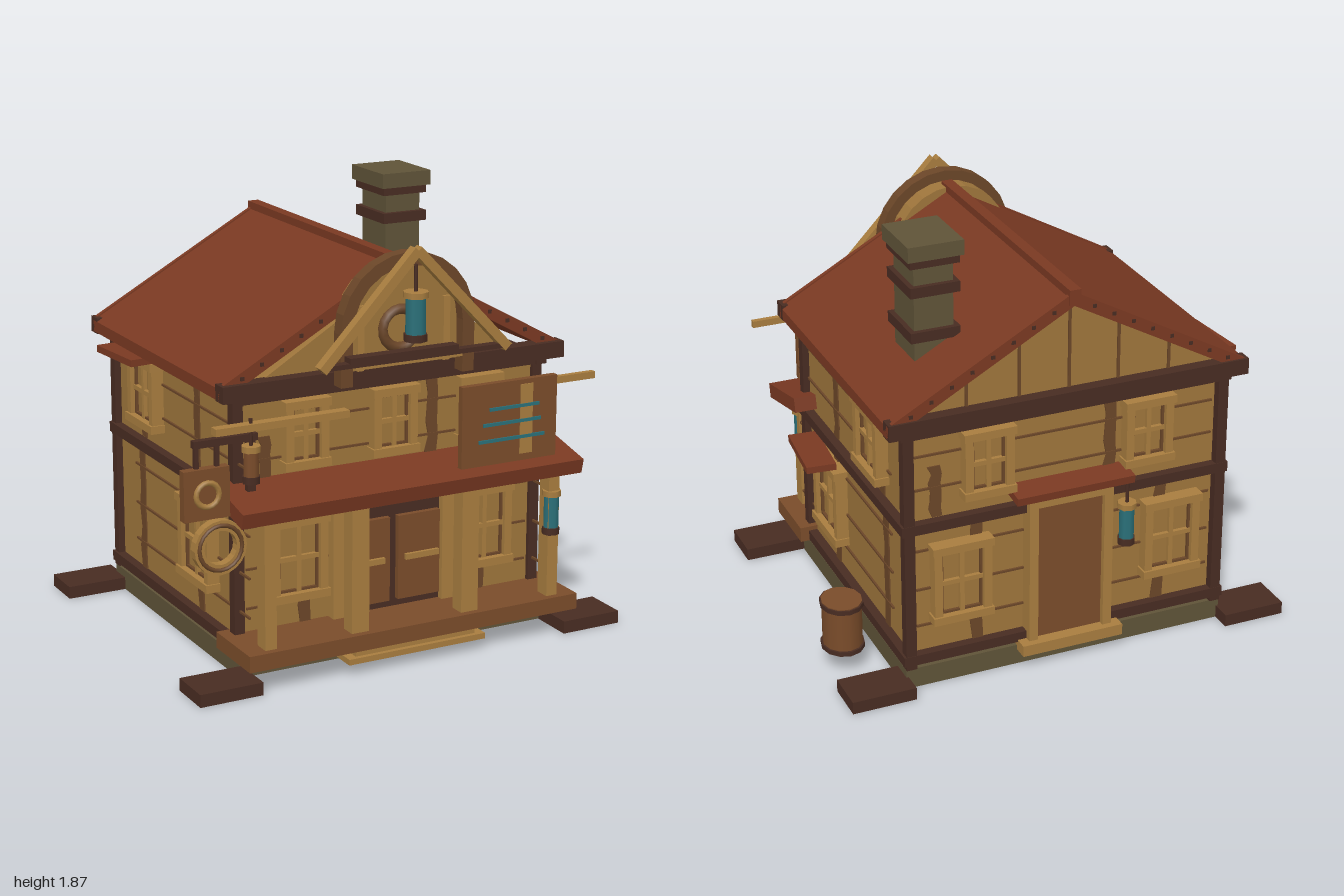
import * as THREE from 'three';

const mat = (name, color, side = THREE.FrontSide) =>
  Object.assign(new THREE.MeshStandardMaterial({ color, side }), { name });

export function createModel() {
  const M = {
    wall: mat('wall planks', 0x9e753b),
    trim: mat('light trim wood', 0xa87d3f),
    brown: mat('brown wood', 0x7a4c2a),
    stain: mat('weathered wood', 0x6b4628),
    dark: mat('dark timber', 0x482c22),
    red: mat('red roof boards', 0x7a3922),
    stone: mat('stone', 0x5f5338),
    teal: mat('teal glass', 0x2a7079),
  };
  const root = new THREE.Group();
  root.name = 'woodenHouse';

  // Helpers: box from extents, and generic mesh
  const add = (name, geo, m, parent = root) => {
    const mesh = new THREE.Mesh(geo, m);
    mesh.name = name;
    parent.add(mesh);
    return mesh;
  };
  const box = (name, m, x0, x1, y0, y1, z0, z1, parent = root) => {
    const b = add(name, new THREE.BoxGeometry(x1 - x0, y1 - y0, z1 - z0), m, parent);
    b.position.set((x0 + x1) / 2, (y0 + y1) / 2, (z0 + z1) / 2);
    return b;
  };
  const shape = pts => new THREE.Shape(pts.map(p => new THREE.Vector2(p[0], p[1])));
  const extrude = (name, m, s, z, depth, parent = root) => {
    const e = add(name, new THREE.ExtrudeGeometry(s, { depth, bevelEnabled: false, curveSegments: 10 }), m, parent);
    e.position.z = z;
    return e;
  };
  // Group whose local +z points out of one wall of the house
  const faces = {
    front: [0, 0, 0.53, 0], back: [0, 0, -0.67, Math.PI],
    left: [0.7, 0, 0, Math.PI / 2], right: [-0.7, 0, 0, -Math.PI / 2],
  };
  const wallGroup = {};
  for (const [k, [x, y, z, r]] of Object.entries(faces)) {
    const g = new THREE.Group();
    g.name = k + 'WallDetails';
    g.position.set(x, y, z);
    g.rotation.y = r;
    root.add(g);
    wallGroup[k] = g;
  }

  // Foundation, corner pads and body
  box('foundation', M.stone, -0.73, 0.73, 0, 0.09, -0.7, 0.585);
  for (const s of [-1, 1]) for (const [a, b] of [[0.59, 0.79], [-0.79, -0.6]])
    box('cornerPad', M.dark, Math.min(s * 0.72, s), Math.max(s * 0.72, s), 0, 0.055, a, b);
  box('body', M.wall, -0.7, 0.7, 0.09, 1.18, -0.67, 0.53);

  // Timber framing
  for (const s of [-1, 1]) {
    for (const z of [0.525, -0.685]) box('cornerPost', M.dark, s * 0.707 - 0.023, s * 0.707 + 0.023, 0.09, 1.18, z - 0.023, z + 0.023);
    for (const [y0, y1] of [[0.11, 0.155], [0.72, 0.765], [1.15, 1.185]])
      box('sideBeam', M.dark, s * 0.715 - 0.025, s * 0.715 + 0.025, y0, y1, -0.71, 0.57);
  }
  for (const [z0, z1] of [[0.52, 0.56], [-0.71, -0.66]])
    for (const [y0, y1] of [[0.11, 0.155], [0.72, 0.765], [1.15, 1.185]])
      if (z0 < 0 || y0 > 0.2) box('crossBeam', M.dark, -0.73, 0.73, y0, y1, z0, z1);
  box('frontEaveBeam', M.dark, -0.8, 0.8, 1.18, 1.25, 0.54, 0.61);
  box('backEaveBeam', M.dark, -0.8, 0.8, 1.18, 1.25, -0.745, -0.68);

  // Plank seams and weathered streaks on each wall
  const streak = (g, x, y0, y1, w) => {
    const n = 6, l = [], r = [];
    for (let i = 0; i <= n; i++) {
      const y = y0 + (y1 - y0) * i / n, j = Math.sin(i * 2.7 + x * 9) * w * 0.2;
      l.push([x - w / 2 + j, y]);
      r.unshift([x + w / 2 + j * 0.4, y]);
    }
    extrude('weatherStreak', M.stain, shape([...l, ...r]), 0, 0.006, g);
  };
  for (const [k, g] of Object.entries(wallGroup)) {
    const side = k === 'left' || k === 'right';
    const off = k === 'left' ? -0.07 : k === 'right' ? 0.07 : 0;
    const half = side ? 0.57 : 0.67;
    for (const y of [0.27, 0.44, 0.62, 0.9, 1.05])
      box('plankSeam', M.stain, off - half, off + half, y, y + 0.009, 0, 0.009, g);
    const spots = side ? [[-0.15, 0.77, 1.15], [0.4, 0.77, 1.15], [-0.17, 0.155, 0.72], [0.43, 0.155, 0.72]]
      : [[-0.4, 0.155, 0.72], [0.44, 0.155, 0.72], [0.2, 0.77, 1.15], [-0.58, 0.77, 1.0]];
    for (const [x, a, b] of spots) streak(g, k === 'right' ? -x : x, a, b, 0.05);
  }

  // Windows: frame bars around a four pane panel
  const windowAt = (face, x, y, w, h) => {
    const g = new THREE.Group();
    g.name = 'window';
    g.position.set(x, y, 0);
    wallGroup[face].add(g);
    const a = w / 2, b = h / 2, t = 0.035;
    box('panes', M.wall, -a + t, a - t, -b + t, b - t, 0, 0.022, g);
    for (const s of [-1, 1]) {
      box('jamb', M.trim, s * (a - 0.025) - t / 2, s * (a - 0.025) + t / 2, -b, b, 0, 0.055, g);
      box('sillOrLintel', M.trim, -a, a, s * (b - t / 2) - t / 2, s * (b - t / 2) + t / 2, 0, 0.065, g);
      box('sashSide', M.stain, s * (a - 0.048) - 0.005, s * (a - 0.048) + 0.005, -b + t, b - t, 0, 0.035, g);
      box('sashEnd', M.stain, -a + t, a - t, s * (b - t - 0.005) - 0.005, s * (b - t - 0.005) + 0.005, 0, 0.035, g);
    }
    box('mullion', M.trim, -0.01, 0.01, -b + t, b - t, 0, 0.04, g);
    box('transom', M.trim, -a + t, a - t, -0.01, 0.01, 0, 0.04, g);
  };
  for (const s of [-1, 1]) {
    windowAt('front', s * 0.445, 0.47, 0.27, 0.36);
    windowAt('front', s * 0.41, 1.0, 0.21, 0.29);
    windowAt('back', s * 0.48, 0.47, 0.27, 0.36);
    windowAt('back', s * 0.36, 0.99, 0.23, 0.3);
    const f = s > 0 ? 'left' : 'right';
    windowAt(f, -s * 0.195, 0.475, 0.31, 0.36);
    windowAt(f, s * 0.33, 0.995, 0.28, 0.31);
  }
  windowAt('front', 0, 1.0, 0.22, 0.29);

  // Roof slabs, ridge, rake boards
  for (const s of [-1, 1]) {
    const sect = (top, t) => shape([[0, top], [s * 0.8, top - 0.44], [s * 0.8, top - 0.44 - t], [0, top - t]]);
    extrude('roofSlab', M.red, sect(1.675, 0.05), -0.72, 1.29);
    for (const z of [0.565, -0.735]) extrude('rakeBoard', M.red, sect(1.682, 0.06), z, 0.02);
    for (const z of [0.586, -0.738]) for (let i = 1; i < 9; i++)
      box('rakePeg', M.dark, s * i * 0.088 - 0.008, s * i * 0.088 + 0.008, 1.648 - i * 0.0484, 1.664 - i * 0.0484, z, z + 0.005);
  }
  box('ridgeBeam', M.red, -0.025, 0.025, 1.63, 1.695, -0.745, 0.595);

  // Gables
  extrude('frontGable', M.wall, shape([[-0.6, 1.24], [0.6, 1.24], [0, 1.6]]), 0.53, 0.02);
  const backGable = add('backGable', new THREE.ShapeGeometry(shape([[-0.78, 1.2], [0.78, 1.2], [0, 1.65]])), M.wall);
  backGable.rotation.y = Math.PI;
  backGable.position.z = -0.69;
  for (const x of [-0.45, -0.22, 0, 0.22, 0.45])
    box('gableSeam', M.stain, x - 0.006, x + 0.006, 1.24, 1.64 - Math.abs(x) * 0.58, -0.697, -0.688);

  // Arched dormer front
  const arch = (r, leg) => {
    const p = [[-r, leg]];
    for (let i = 0; i <= 12; i++) p.push([-r * Math.cos(i * Math.PI / 12), 1.42 + r * Math.sin(i * Math.PI / 12)]);
    return [...p, [r, leg]].reverse();
  };
  extrude('archPanel', M.wall, shape(arch(0.265, 1.25)), 0.54, 0.09);
  extrude('archFrame', M.stain, shape([...arch(0.31, 1.2), ...arch(0.255, 1.2).reverse()]), 0.62, 0.06);
  for (const s of [-1, 1]) {
    box('archPanelBatten', M.trim, s * 0.2 - 0.015, s * 0.2 + 0.015, 1.25, 1.52, 0.63, 0.645);
    const p = add('gablePlank', new THREE.BoxGeometry(0.62, 0.04, 0.045), M.trim);
    p.position.set(s * 0.215, 1.525, 0.735);
    p.rotation.z = -s * 0.805;
  }
  box('archSill', M.trim, -0.25, 0.25, 1.27, 1.3, 0.63, 0.69);
  box('gableTieBar', M.dark, -0.43, 0.43, 1.3, 1.32, 0.715, 0.755);
  box('gableTieBoard', M.dark, -0.31, 0.19, 1.318, 1.342, 0.71, 0.76);
  const shoe = add('horseshoe', new THREE.TorusGeometry(0.08, 0.022, 6, 14, 5), M.stain);
  shoe.position.set(-0.04, 1.42, 0.68);
  shoe.rotation.z = 0.9;

  // Lanterns
  const lantern = (x, y, z, h, r, m = M.teal) => {
    const g = new THREE.Group();
    g.name = 'lantern';
    g.position.set(x, y, z);
    root.add(g);
    const cyl = (n, mm, rad, hh, yy) => { add(n, new THREE.CylinderGeometry(rad, rad, hh, 8), mm, g).position.y = yy; };
    cyl('lanternGlass', m, r, h, 0);
    cyl('lanternCap', M.trim, r * 1.25, 0.025, h / 2 + 0.012);
    cyl('lanternBase', M.dark, r * 1.15, 0.03, -h / 2 - 0.015);
    cyl('lanternStem', M.dark, 0.008, 0.12, h / 2 + 0.075);
  };
  lantern(0, 1.48, 0.735, 0.15, 0.043);
  lantern(0.67, 0.55, 0.74, 0.14, 0.033);
  lantern(-0.25, 0.6, -0.745, 0.14, 0.033);
  lantern(-0.74, 0.965, 0.735, 0.1, 0.032, M.brown);

  // Chimney
  const chimney = (n, m, y0, y1, e) => box(n, m, 0.4 - e, 0.57 + e, y0, y1, -0.445 - e, -0.23 + e);
  chimney('chimneyStack', M.stone, 1.3, 1.8, 0);
  for (const [a, b] of [[1.45, 1.495], [1.645, 1.69], [1.77, 1.805]]) chimney('chimneyBand', M.dark, a, b, 0.022);
  chimney('chimneyCap', M.stone, 1.805, 1.87, 0.035);

  // Porch deck, steps, posts and awning
  box('porchDeck', M.brown, -0.78, 0.78, 0.105, 0.175, 0.475, 0.79);
  box('lowerStep', M.trim, -0.325, 0.325, 0.05, 0.075, 0.57, 0.785);
  box('upperStep', M.trim, -0.285, 0.285, 0.075, 0.105, 0.57, 0.765);
  for (const x of [-0.67, -0.26, 0.26, 0.67]) {
    const w = Math.abs(x) > 0.5 ? 0.026 : 0.04;
    box('porchPost', M.trim, x - w, x + w, 0.175, 0.74, 0.69, 0.76);
  }
  const awning = (name, x, y, z, w, t, d, rx, ry = 0, rz = 0) => {
    const a = add(name, new THREE.BoxGeometry(w, t, d), M.red);
    a.position.set(x, y, z);
    a.rotation.set(rx, ry, rz);
  };
  awning('porchRoof', 0, 0.78, 0.6, 1.6, 0.065, 0.36, 0.22);
  awning('leftWindowAwning', 0.805, 0.7, 0.195, 0.13, 0.03, 0.33, 0, -0.09);
  awning('rightWindowAwning', -0.805, 1.17, -0.335, 0.13, 0.03, 0.31, 0, 0.09);
  awning('backDoorAwning', 0, 0.825, -0.72, 0.53, 0.035, 0.13, -0.12);

  // Front double doors
  const f = wallGroup.front, b = wallGroup.back;
  box('doorRecess', M.dark, -0.23, 0.23, 0.175, 0.72, 0, 0.02, f);
  for (const s of [-1, 1]) {
    box('doorLeaf', M.brown, s * 0.12 - 0.1, s * 0.12 + 0.1, 0.21, 0.58, 0.01, 0.045, f);
    box('doorRail', M.trim, s * 0.13 - 0.08, s * 0.13 + 0.08, 0.385, 0.41, 0.04, 0.06, f);
    box('doorJamb', M.trim, s * 0.26 - 0.03, s * 0.26 + 0.03, 0.175, 0.72, 0, 0.05, f);
    box('backDoorJamb', M.trim, s * 0.17 - 0.02, s * 0.17 + 0.02, 0.12, 0.78, 0, 0.07, b);
  }
  // Back door
  box('backDoor', M.brown, -0.15, 0.15, 0.12, 0.76, 0, 0.045, b);
  box('backDoorLintel', M.trim, -0.19, 0.19, 0.745, 0.785, 0, 0.07, b);
  box('backDoorStep', M.trim, -0.23, 0.23, 0.07, 0.12, 0, 0.1, b);

  // Notice board with painted strips
  box('noticeBoard', M.brown, 0.22, 0.68, 0.8, 1.15, 0.715, 0.745);
  for (const [y, x0, x1] of [[1.04, 0.35, 0.59], [0.975, 0.32, 0.6], [0.905, 0.3, 0.62]])
    box('paintedStrip', M.teal, x0, x1, y - 0.007, y + 0.007, 0.745, 0.752);
  box('wornPatch', M.trim, 0.5, 0.56, 0.83, 1.13, 0.744, 0.749);
  box('hangerPlank', M.trim, -0.9, -0.31, 1.1, 1.13, 0.71, 0.755);
  box('boardPlank', M.trim, 0.5, 0.89, 1.1, 1.13, 0.69, 0.715);

  // Hanging sign and wheel
  box('signArm', M.dark, -0.95, -0.67, 1.03, 1.06, 0.625, 0.655);
  box('signPost', M.dark, -0.715, -0.68, 0.82, 1.06, 0.625, 0.655);
  for (const x of [-0.935, -0.845]) box('signRod', M.dark, x - 0.009, x + 0.009, 0.94, 1.04, 0.63, 0.648);
  box('signBoard', M.brown, -1, -0.8, 0.735, 0.945, 0.625, 0.665);
  for (const z of [0.619, 0.671]) {
    add('signRing', new THREE.TorusGeometry(0.05, 0.012, 6, 16), M.trim).position.set(-0.9, 0.84, z);
  }
  const wheel = new THREE.Shape().absarc(-0.845, 0.61, 0.115, 0, Math.PI * 2);
  wheel.holes.push(new THREE.Path().absarc(-0.845, 0.61, 0.072, 0, Math.PI * 2, true));
  extrude('wheelRim', M.trim, wheel, 0.63, 0.04);
  add('wheelBand', new THREE.TorusGeometry(0.094, 0.009, 6, 20), M.stain).position.set(-0.845, 0.61, 0.67);

  // Barrel
  const barrel = new THREE.Group();
  barrel.name = 'barrel';
  barrel.position.set(0.905, 0.21, -0.415);
  barrel.scale.z = 1.15;
  root.add(barrel);
  add('barrelBody', new THREE.CylinderGeometry(0.084, 0.084, 0.22, 12), M.brown, barrel);
  for (const y of [-0.1, 0.098])
    add('barrelHoop', new THREE.CylinderGeometry(0.092, 0.092, 0.02, 12), M.dark, barrel).position.y = y;
  add('barrelLid', new THREE.CylinderGeometry(0.086, 0.086, 0.004, 12), M.brown, barrel).position.y = 0.11;
  return root;
}
